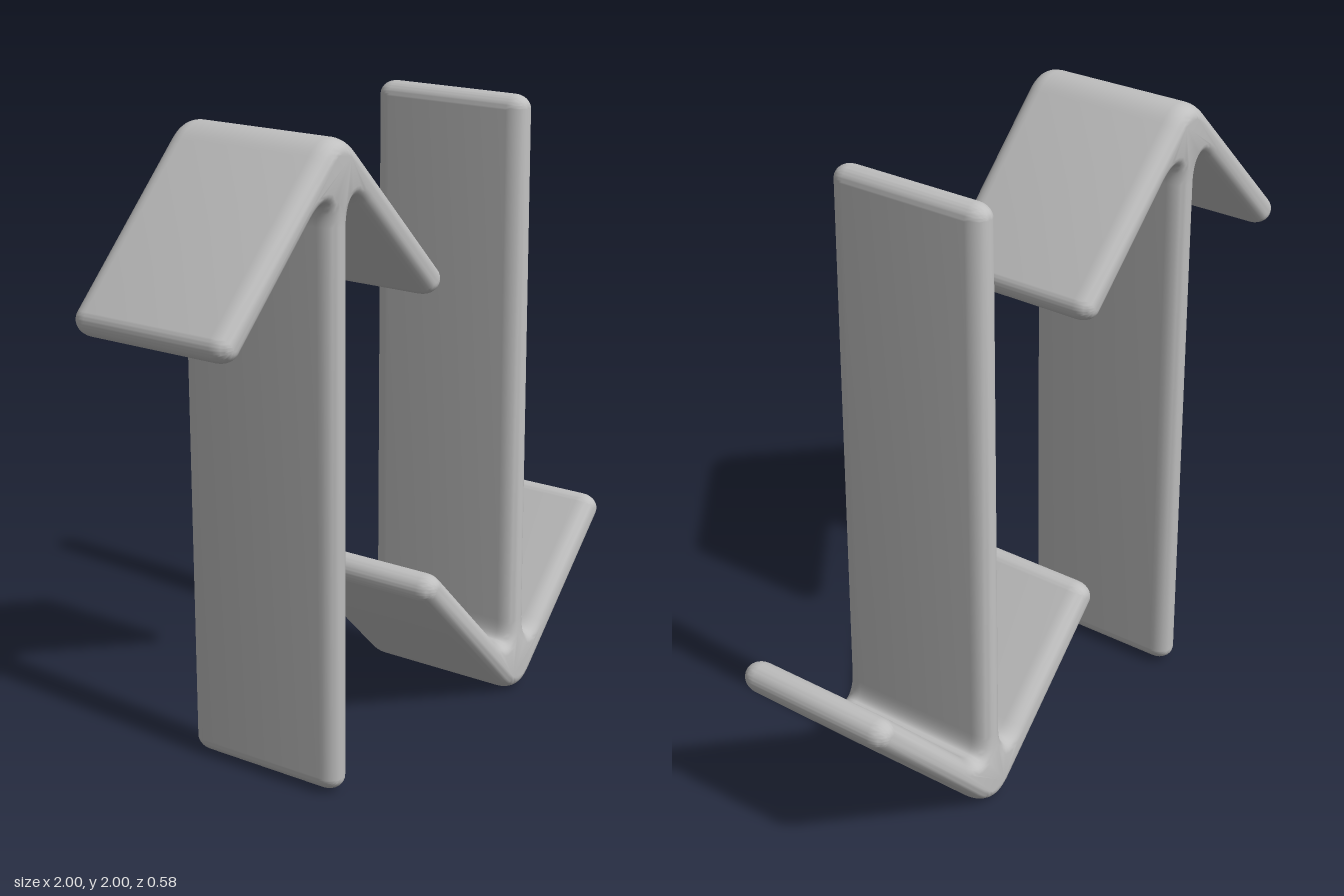
import * as THREE from 'three';
import { toCreasedNormals } from 'three/addons/utils/BufferGeometryUtils.js';

// Arrow outline, centred on x = 0, pointing up
function arrowShape() {
  const s = 0.045, r = 0.048, tipX = 0.47, tipY = 1.503, q = Math.PI / 4;
  const shape = new THREE.Shape();
  shape.absarc(0, 0.01 + s, s, Math.PI, 2 * Math.PI, false); // rounded shaft end
  shape.lineTo(s, 1.75);
  shape.quadraticCurveTo(s, 1.86, s + 0.075, 1.785); // fillet under the head
  shape.absarc(tipX, tipY, r, -3 * q, q, false); // rounded wing tip
  shape.lineTo(0.085, 1.955);
  shape.quadraticCurveTo(0, 2.042, -0.085, 1.955); // rounded apex
  shape.absarc(-tipX, tipY, r, 3 * q, 7 * q, false);
  shape.lineTo(-s - 0.075, 1.785);
  shape.quadraticCurveTo(-s, 1.86, -s, 1.75);
  shape.closePath();
  return shape;
}

function arrowGeometry() {
  const depth = 0.555, soft = 0.055;
  const geo = new THREE.ExtrudeGeometry(arrowShape(), {
    depth: depth - 2 * soft,
    bevelThickness: soft,
    bevelSize: 0.04,
    bevelOffset: -0.04,
    bevelSegments: 7,
    curveSegments: 14,
  });
  geo.translate(0, 0, soft - depth / 2);

  // The head is slightly deeper than the shaft and swells at the apex
  const p = geo.attributes.position;
  for (let i = 0; i < p.count; i++) {
    const x = p.getX(i), y = p.getY(i);
    const swell = Math.exp(-(x * x + (y - 1.9) ** 2) / 0.015);
    const head = y > 1.4 ? 0.015 : 0;
    p.setZ(i, p.getZ(i) * (1 + head + 0.035 * swell));
  }
  return toCreasedNormals(geo, 1.0);
}

export function createModel() {
  const model = new THREE.Group();
  model.name = 'arrowPair';
  const grey = new THREE.MeshStandardMaterial({ color: 0xbfbfbf });
  grey.name = 'grey';
  const geo = arrowGeometry();

  const up = new THREE.Mesh(geo, grey);
  up.name = 'upArrow';
  up.position.x = -0.483;

  // Same arrow turned upside down
  const down = new THREE.Mesh(geo, grey);
  down.name = 'downArrow';
  down.rotation.z = Math.PI;
  down.position.set(0.483, 2, 0);

  model.add(up, down);
  return model;
}
